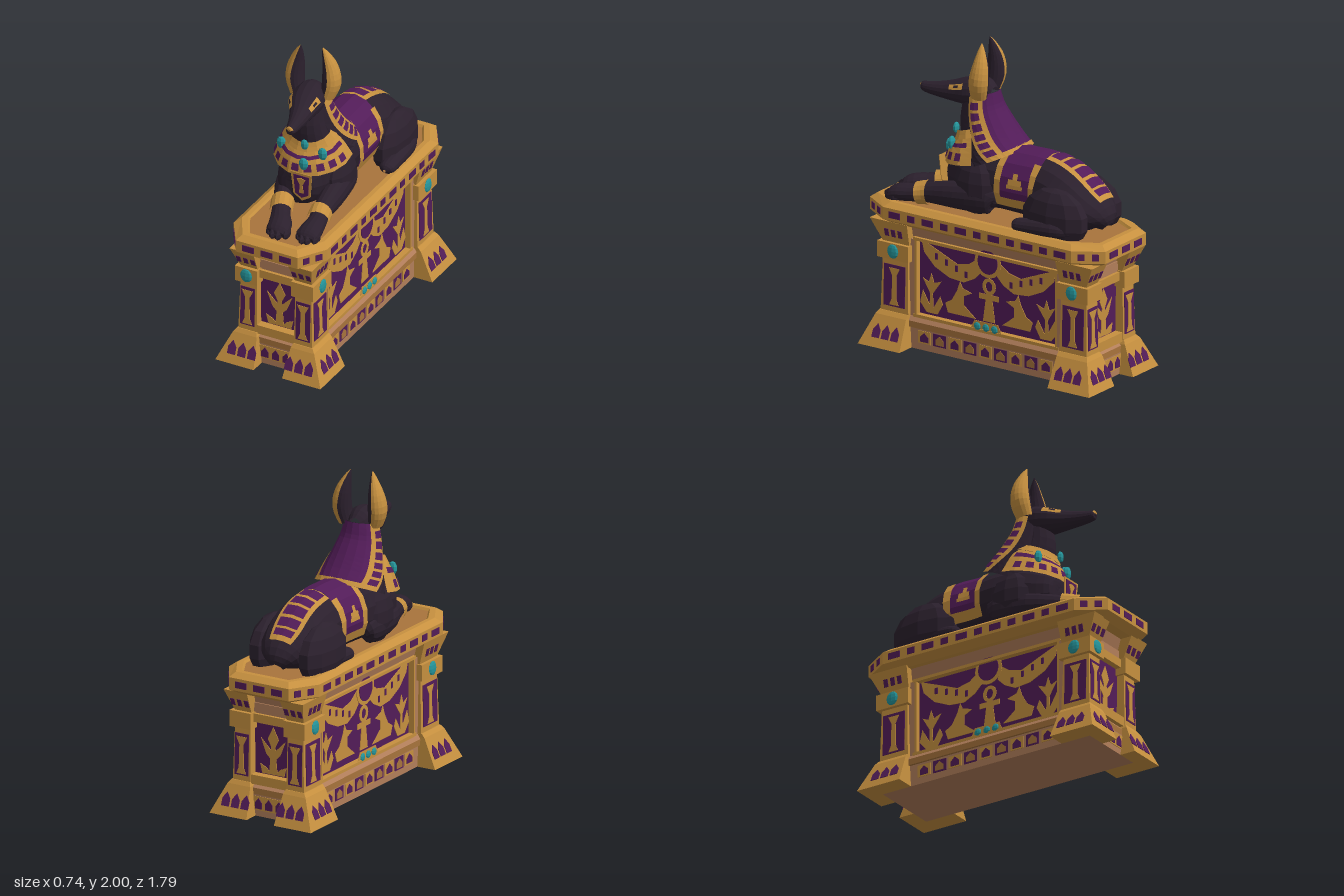
import * as THREE from 'three';

const mat = (name, color) => Object.assign(new THREE.MeshStandardMaterial({ color }), { name });
const gold = mat('gold', 0xc6903f), purple = mat('purple', 0x521c58), black = mat('black', 0x2b202d);
const teal = mat('teal', 0x25969c), tan = mat('tan', 0xb27e5a), bronze = mat('bronze', 0xa8743c);

const flat = g => { const n = g.index ? g.toNonIndexed() : g; n.computeVertexNormals(); return n; };

// grid surface from a rule f(i, j)
function sheet(nu, nv, f) {
  const pos = [], idx = [];
  for (let i = 0; i <= nu; i++) for (let j = 0; j <= nv; j++) pos.push(...f(i, j));
  for (let i = 0; i < nu; i++) for (let j = 0; j < nv; j++) {
    const a = i * (nv + 1) + j, b = a + nv + 1;
    idx.push(a, a + 1, b, a + 1, b + 1, b);
  }
  const g = new THREE.BufferGeometry();
  g.setAttribute('position', new THREE.Float32BufferAttribute(pos, 3));
  g.setIndex(idx);
  return flat(g);
}

// skin around sections [x, y, z, half width, half height]; t counts sections, a is in degrees,
// pinch draws the angles towards 90 near the first section
function skin(secs, pinch = 0) {
  const n = secs.length - 1;
  const path = new THREE.CatmullRomCurve3(secs.map(s => new THREE.Vector3(s[0], s[1], s[2])), false, 'catmullrom');
  const size = new THREE.CatmullRomCurve3(secs.map(s => new THREE.Vector3(s[3], s[4], 0)), false, 'catmullrom');
  const at = (t, deg, grow) => {
    const u = Math.min(Math.max(t / n, 0), 1);
    const a = (90 + (deg - 90) * (1 - pinch * (1 - u) ** 2)) * Math.PI / 180;
    const c = path.getPoint(u), T = path.getTangent(u), s = size.getPoint(u);
    const r = new THREE.Vector3(1, 0, 0).addScaledVector(T, -T.x).normalize();
    const up = new THREE.Vector3().crossVectors(T, r);
    c.addScaledVector(r, (Math.max(s.x, 0.002) + grow) * Math.cos(a));
    c.addScaledVector(up, (Math.max(s.y, 0.002) + grow) * Math.sin(a));
    return [c.x, Math.max(c.y, 0.925), c.z];
  };
  return (t0 = 0, t1 = n, a0 = 0, a1 = 360, grow = 0) => {
    const nu = Math.ceil((t1 - t0) * 3), nv = Math.ceil((a1 - a0) / 24);
    return sheet(nu, nv, (i, j) => at(t0 + (t1 - t0) * i / nu, a0 + (a1 - a0) * j / nv, grow));
  };
}

// block with different bottom and top rectangles [x0, x1, z0, z1]
function frustum(y0, b, y1, t = b) {
  const g = new THREE.BoxGeometry(1, 1, 1), p = g.attributes.position;
  for (let i = 0; i < p.count; i++) {
    const r = p.getY(i) > 0 ? t : b;
    p.setXYZ(i, p.getX(i) > 0 ? r[1] : r[0], p.getY(i) > 0 ? y1 : y0, p.getZ(i) > 0 ? r[3] : r[2]);
  }
  return flat(g);
}

const ball = (r, sx, sy, sz, x, y, z, w = 10, h = 7) =>
  flat(new THREE.SphereGeometry(r, w, h).scale(sx, sy, sz)).translate(x, y, z);

// thin plate from an outline
function plate(pts, lift = 0, hole) {
  const s = new THREE.Shape(pts.map(p => new THREE.Vector2(p[0], p[1])));
  if (hole) s.holes.push(new THREE.Path(hole.map(p => new THREE.Vector2(p[0], p[1]))));
  return new THREE.ExtrudeGeometry(s, { depth: 0.004, bevelEnabled: false }).translate(0, 0, lift);
}
const rect = (x, y, w, h) => [[x - w / 2, y - h / 2], [x + w / 2, y - h / 2], [x + w / 2, y + h / 2], [x - w / 2, y + h / 2]];
const oval = (x, y, rx, ry, n = 14) => Array.from({ length: n }, (_, i) =>
  [x + rx * Math.cos(i / n * 2 * Math.PI), y + ry * Math.sin(i / n * 2 * Math.PI)]);
const flip = pts => pts.map(([x, y]) => [-x, y]);
const dome = (x, y, w, h) => [[x - w / 2, y], [x + w / 2, y], [x + w / 2, y + h * 0.55], [x, y + h], [x - w / 2, y + h * 0.55]];

export function createModel() {
  const root = new THREE.Group();
  root.name = 'jackalShrine';
  const add = (name, geo, m, parent = root) => {
    const o = new THREE.Mesh(geo, m); o.name = name; parent.add(o);
  };
  // local drawing plane on a wall
  const face = (name, x, y, z, ry, tilt = 0) => {
    const g = new THREE.Group();
    g.name = name; g.position.set(x, y, z); g.rotation.set(-tilt, ry, 0, 'YXZ'); root.add(g); return g;
  };

  // chest
  add('skirting', frustum(0, [-.24, .24, -.77, .77], .14), tan);
  add('ledge', frustum(.14, [-.255, .255, -.77, .77], .18), bronze);
  add('ledgeTop', frustum(.18, [-.255, .255, -.77, .77], .21, [-.235, .235, -.74, .74]), tan);
  add('chestCore', frustum(.2, [-.2, .2, -.72, .72], .72), purple);
  add('cornice', frustum(.72, [-.215, .215, -.73, .73], .81, [-.24, .24, -.76, .76]), tan);

  // long side reliefs
  const wing = [[.08, .67], [.15, .62], [.24, .6], [.36, .65], [.51, .71], [.49, .63], [.41, .55], [.3, .5], [.19, .49], [.11, .53], [.06, .58]];
  const hound = [[.1, .27], [.31, .27], [.33, .33], [.28, .36], [.24, .43], [.22, .49], [.2, .45], [.13, .43], [.19, .4], [.19, .34], [.14, .3]];
  const lotus = [[.42, .26], [.45, .26], [.445, .37], [.5, .46], [.455, .44], [.435, .5], [.415, .44], [.36, .46], [.425, .37]];
  const leaf = [[.43, .26], [.5, .38], [.52, .3], [.47, .24], [.39, .24], [.35, .31], [.37, .36]];
  for (const s of [1, -1]) {
    const g = face('sideRelief', s * .2, 0, 0, s * Math.PI / 2);
    for (const k of [1, -1]) {
      for (const [n, pts] of [['wing', wing], ['hound', hound], ['lotus', lotus], ['leaf', leaf]])
        add(n, plate(k > 0 ? pts : flip(pts)), gold, g);
      for (let i = 0; i < 4; i++) add('featherGap', plate(rect(k * (.17 + i * .075), .545 + i * .025, .02, .04), .004), purple, g);
      add('stile', new THREE.BoxGeometry(.05, .5, .05).translate(k * .555, .46, .01), tan, g);
      add('stileTrim', new THREE.BoxGeometry(.015, .49, .05).translate(k * .53, .46, .012), gold, g);
    }
    add('sunRing', plate(oval(0, .66, .1, .1, 18), .012), gold, g);
    add('sunDisk', plate(oval(0, .665, .075, .08, 18), .016), purple, g);
    add('ankhLoop', plate(oval(0, .5, .05, .055), 0, oval(0, .5, .025, .033)), gold, g);
    add('ankhBar', plate(rect(0, .43, .15, .035)), gold, g);
    add('ankhStem', plate([[-.045, .27], [.045, .27], [.02, .45], [-.02, .45]]), gold, g);
    add('topTrim', new THREE.BoxGeometry(1.1, .02, .05).translate(0, .715, .012), gold, g);
    add('bottomTrim', new THREE.BoxGeometry(1.1, .02, .07).translate(0, .215, .005), gold, g);
    add('scarabMount', plate([[-.12, .21], [.12, .21], [.09, .275], [-.09, .275]], .03), gold, g);
    for (const x of [-.065, 0, .065]) add('scarabGem', ball(.026, 1, 1, .4, x, .24, .036, 8, 5), teal, g);
    // painted skirting
    const k = face('skirtingPattern', s * .24, 0, 0, s * Math.PI / 2);
    for (let i = -4; i <= 4; i++) {
      add('skirtingPatch', plate(rect(i * .115, .085, .095, .08)), i % 2 ? purple : gold, k);
      add('skirtingDome', plate(dome(i * .115, .055, .06, .06), .003), i % 2 ? bronze : purple, k);
    }
  }

  // end panels
  for (const s of [1, -1]) {
    const g = face('endRelief', 0, 0, s * .72, s > 0 ? 0 : Math.PI);
    add('plantStem', plate([[-.03, .27], [.03, .27], [.015, .45], [.04, .5], [0, .58], [-.04, .5], [-.015, .45]]), gold, g);
    for (const k of [1, -1]) {
      const petal = [[.01, .36], [.05, .4], [.09, .5], [.05, .46], [.01, .42]], low = [[.01, .27], [.08, .27], [.095, .33], [.05, .31]];
      for (const p of [petal, low]) add('plantLeaf', plate(k > 0 ? p : flip(p)), gold, g);
    }
    add('endBar', new THREE.BoxGeometry(.26, .055, .06).translate(0, .632, .01), gold, g);
    add('endLintel', new THREE.BoxGeometry(.26, .07, .03).translate(0, .69, .005), tan, g);
    add('endSill', new THREE.BoxGeometry(.26, .06, .07).translate(0, .235, .02), gold, g);
    const k = face('endSkirting', 0, 0, s * .77, s > 0 ? 0 : Math.PI);
    add('endBand', plate(rect(0, .085, .24, .09)), gold, k);
    for (const x of [-.075, 0, .075]) add('endDome', plate(dome(x, .05, .05, .07), .004), purple, k);
  }

  // corner columns
  for (const sx of [1, -1]) for (const sz of [1, -1]) {
    const R = (xi, xo, zi, zo) => [Math.min(sx * xi, sx * xo), Math.max(sx * xi, sx * xo), Math.min(sz * zi, sz * zo), Math.max(sz * zi, sz * zo)];
    add('columnFoot', frustum(0, R(.1, .37, .56, .875), .19, R(.12, .285, .57, .8)), gold);
    add('footCap', frustum(.19, R(.12, .285, .57, .8), .215, R(.13, .265, .57, .785)), gold);
    add('columnShaft', frustum(.2, R(.13, .26, .57, .78), .56, R(.135, .25, .58, .77)), gold);
    add('columnBand', frustum(.56, R(.12, .275, .56, .795), .665), gold);
    add('columnCapital', frustum(.665, R(.13, .25, .57, .77), .81, R(.12, .29, .56, .84)), gold);
    const walls = [[sx * .195, sz * .78, sz > 0 ? 0 : Math.PI, sx * .2, sz * .875, .37, .1, .4],
      [sx * .26, sz * .675, sx * Math.PI / 2, sx * .37, sz * .69, .42, .16, .24]];
    walls.forEach(([x, z, ry, fx, fz, tilt, w, capTilt], side) => {
      const g = face('shaftRelief', x, 0, z, ry, .02);
      add('shaftPanel', plate(rect(0, .385, w, .27), .005), purple, g);
      add('miniColumn', plate([[-.035, .26], [.035, .26], [.018, .3], [.015, .45], [.04, .5], [-.04, .5], [-.015, .45], [-.018, .3]], .008), gold, g);
      if (side || (sx < 0 && sz > 0)) add('columnGem', ball(.042, 1, 1.1, .3, 0, .615, .03, 8, 6), teal, g);
      const f = face('footRelief', fx, 0, fz, ry, tilt);
      for (const i of [-1, 0, 1]) add('footDome', plate(dome(i * .07, .06, .055, .09)), purple, f);
      const c = face('capitalRelief', side ? sx * .25 : x, .665, side ? z : sz * .77, ry, -capTilt);
      for (const i of [-1, 0, 1]) add('capitalPatch', plate(rect(i * .05, .07, .03, .05), .004), purple, c);
    });
  }

  // lid: eight-sided slab with a sunk floor
  const lidLevels = [[0.001, 0.001, .8], [.27, .83, .8], [.33, .89, .835], [.33, .89, .915], [.29, .85, .945], [.26, .815, .945], [.25, .805, .93]];
  const lidRing = levels => sheet(levels.length - 1, 8, (i, j) => {
    const [hx, hz, y] = levels[i], q = [1, 0, 0, 1, 1, 0, 0, 1][j % 8];
    const sx = [1, 1, -1, -1, -1, -1, 1, 1][j % 8], sz = [-1, -1, -1, -1, 1, 1, 1, 1][j % 8];
    return [sx * (q ? hx : hx * .66), y, sz * (q ? hz * .8 : hz)];
  });
  add('lid', lidRing(lidLevels), gold);
  add('lidFloor', lidRing([[.25, .805, .93], [.001, .001, .93]]), bronze);
  for (const s of [1, -1]) {
    const g = face('lidSideDashes', s * .33, .875, 0, s * Math.PI / 2);
    for (let i = -5; i <= 5; i++) add('dash', plate(rect(i * .125, 0, i % 2 ? .085 : .055, .042)), purple, g);
    const e = face('lidEndDashes', 0, .875, s * .89, s > 0 ? 0 : Math.PI);
    for (const x of [-.13, 0, .13]) add('dash', plate(rect(x, 0, .08, .042)), purple, e);
    for (const k of [1, -1]) {
      const c = face('lidCornerDash', k * .274, .875, s * .801, Math.atan2(k * .178, s * .112));
      for (const x of [-.045, .045]) add('dash', plate(rect(x, 0, .045, .042)), purple, c);
    }
  }

  // torso, haunches and shoulders
  const torso = skin([[-.03, .98, -.735, .04, .04], [-.03, 1.03, -.69, .13, .1], [-.03, 1.07, -.6, .19, .145], [-.03, 1.12, -.45, .2, .2],
    [-.04, 1.15, -.3, .19, .21], [-.04, 1.15, -.12, .19, .21], [-.05, 1.15, .05, .2, .21], [-.05, 1.14, .2, .2, .21],
    [-.05, 1.12, .34, .165, .175], [-.04, 1.12, .42, .11, .12], [-.04, 1.12, .44, .01, .01]]);
  add('torso', torso(), black);
  for (const s of [1, -1]) {
    add('haunch', ball(1, .105, .2, .24, -.02 + s * .18, 1.03, -.47), black);
    add('shoulder', ball(1, .085, .18, .16, -.04 + s * .155, 1.1, .16), black);
    add('hindFoot', skin([[s * .2, .98, -.62, .03, .03], [s * .22, .98, -.5, .06, .06], [s * .23, .97, -.32, .055, .05], [s * .23, .965, -.23, .05, .04], [s * .23, .96, -.2, .01, .01]])(), black);
  }

  // forelegs, bracelets and toes
  for (const [xs, dz] of [[[-.2, -.2, -.18, -.11, -.06, -.01, 0, 0], 0], [[.11, .11, .14, .16, .18, .19, .19, .19], .03]]) {
    const dims = [[1.02, 0, .02, .03], [1.04, .06, .07, .1], [1.03, .28, .075, .09], [1.01, .48, .06, .065], [.995, .6, .06, .055], [.985, .7, .075, .055], [.97, .76, .07, .04], [.96, .78, .01, .01]];
    const leg = skin(dims.map(([y, z, w, h], i) => [xs[i], y, z - (i > 3 ? dz : 0), w, h]));
    add('foreleg', leg(), black);
    add('bracelet', leg(3, 3.85, 0, 360, .014), gold);
    for (let i = 0; i < 4; i++) add('toe', ball(1, .021, .036, .05, xs[7] + (i - 1.5) * .038, .962, (i % 3 ? .765 : .735) - dz, 7, 5), black);
  }

  // saddle cloth and spine strip
  const mirrored = (f, m) => (t0, t1, a0, a1, g) => f(t0, t1, m ? 180 - a1 : a0, m ? 180 - a0 : a1, g);
  add('saddleCloth', torso(4, 5.5, -28, 208, .014), purple);
  add('saddleFrontTrim', torso(5.3, 5.55, -32, 212, .02), gold);
  for (const m of [0, 1]) {
    const side = mirrored(torso, m);
    add('saddleRearTrim', side(3.95, 4.2, -32, 50, .02), gold);
    add('saddleHem', side(4, 5.5, -32, -15, .02), gold);
    for (const [t0, t1, a0, a1] of [[4.45, 5.05, 2, 8], [4.5, 5, 8, 17], [4.66, 4.84, 17, 27]])
      add('saddleEmblem', side(t0, t1, a0, a1, .02), gold);
  }
  add('spineStrip', torso(1.3, 4, 68, 124, .012), gold);
  for (let i = 0; i < 5; i++) add('spinePatch', torso(1.55 + i * .5, 1.93 + i * .5, 76, 116, .018), purple);

  // neck, cape and collar
  add('neck', skin([[-.04, 1.26, .18, .17, .17], [-.04, 1.4, .23, .13, .13], [-.04, 1.52, .26, .1, .105], [-.045, 1.67, .24, .09, .09]])(), black);
  const cape = skin([[-.05, 1.27, .09, .23, .2], [-.05, 1.36, .13, .205, .17], [-.05, 1.45, .165, .17, .145], [-.05, 1.56, .2, .135, .115], [-.05, 1.67, .215, .105, .1]], .35);
  add('capeLining', cape(0, 4, -90, 270, -.006), black);
  add('cape', cape(0, 4, 20, 160), purple);
  add('capeHem', cape(0, .3, 20, 160, .006), gold);
  for (const m of [0, 1]) {
    const side = mirrored(cape, m);
    add('capeBorder', side(0, 4, -22, 30, .006), gold);
    for (let i = 0; i < 6; i++) add('capeDash', side(.3 + i * .58, .7 + i * .58, -10, 17, .013), purple);
  }
  const collar = skin([[-.045, 1.25, .205, .245, .245], [-.045, 1.36, .225, .19, .195], [-.04, 1.45, .255, .125, .125]]);
  add('broadCollar', collar(0, 1.5, 165, 375, .004), gold);
  add('collarRing', collar(.95, 1.25, 175, 365, .01), purple);
  add('neckRing', collar(1.5, 2, 0, 360, .008), gold);
  for (let i = 0; i < 9; i++) add('collarPatch', collar(.22, .62, 184 + i * 20, 196 + i * 20, .011), purple);
  for (const [x, y, z, r] of [[-.005, 1.405, .395, .03], [.01, 1.29, .435, .036], [-.19, 1.345, .355, .036], [.1, 1.345, .355, .036]])
    add('collarGem', ball(r, .9, 1.2, .6, x, y, z, 7, 5), teal);
  const pendant = face('pendant', .01, 1.235, .46, 0, -.05);
  add('pendantPlate', plate([[-.075, 0], [-.06, -.16], [0, -.2], [.06, -.16], [.075, 0]]), gold, pendant);
  add('pendantInlay', plate([[-.055, -.015], [-.045, -.15], [0, -.177], [.045, -.15], [.055, -.015]], .004), purple, pendant);
  add('pendantEmblem', plate([[-.015, -.14], [.015, -.14], [.01, -.08], [.03, -.04], [0, -.03], [-.03, -.04], [-.01, -.08]], .008), gold, pendant);

  // head and eyes
  const head = skin([[-.05, 1.65, .14, .05, .06], [-.05, 1.66, .22, .1, .1], [-.04, 1.65, .32, .105, .09], [-.02, 1.64, .41, .076, .07],
    [0, 1.635, .5, .054, .052], [.015, 1.635, .59, .037, .038], [.02, 1.64, .63, .026, .028], [.02, 1.64, .64, .003, .003]]);
  add('head', head(), black);
  add('noseTip', head(6.1, 7, 20, 160, .003), gold);
  for (const m of [0, 1]) {
    const side = mirrored(head, m);
    add('eyeLiner', side(2, 3.2, 20, 45, .005), gold);
    add('eye', side(2.4, 2.8, 28, 38, .009), black);
  }

  // ears, gold outside and dark inside
  for (const m of [0, 1]) {
    const ear = mirrored(skin([[.045, 1.66, .19, .045, .055], [.066, 1.76, .175, .06, .066], [.054, 1.86, .17, .05, .054], [.028, 1.95, .18, .024, .027], [.01, 2, .19, .003, .003]]
      .map(([x, y, z, w, h]) => [m ? -.105 - x + .01 * (1.75 - y) / .25 : x, y, z + m * .035, w, h])), m);
    add('earOuter', ear(0, 4, -90, 95), gold);
    add('earInner', ear(0, 4, 95, 270), black);
  }
  return root;
}
